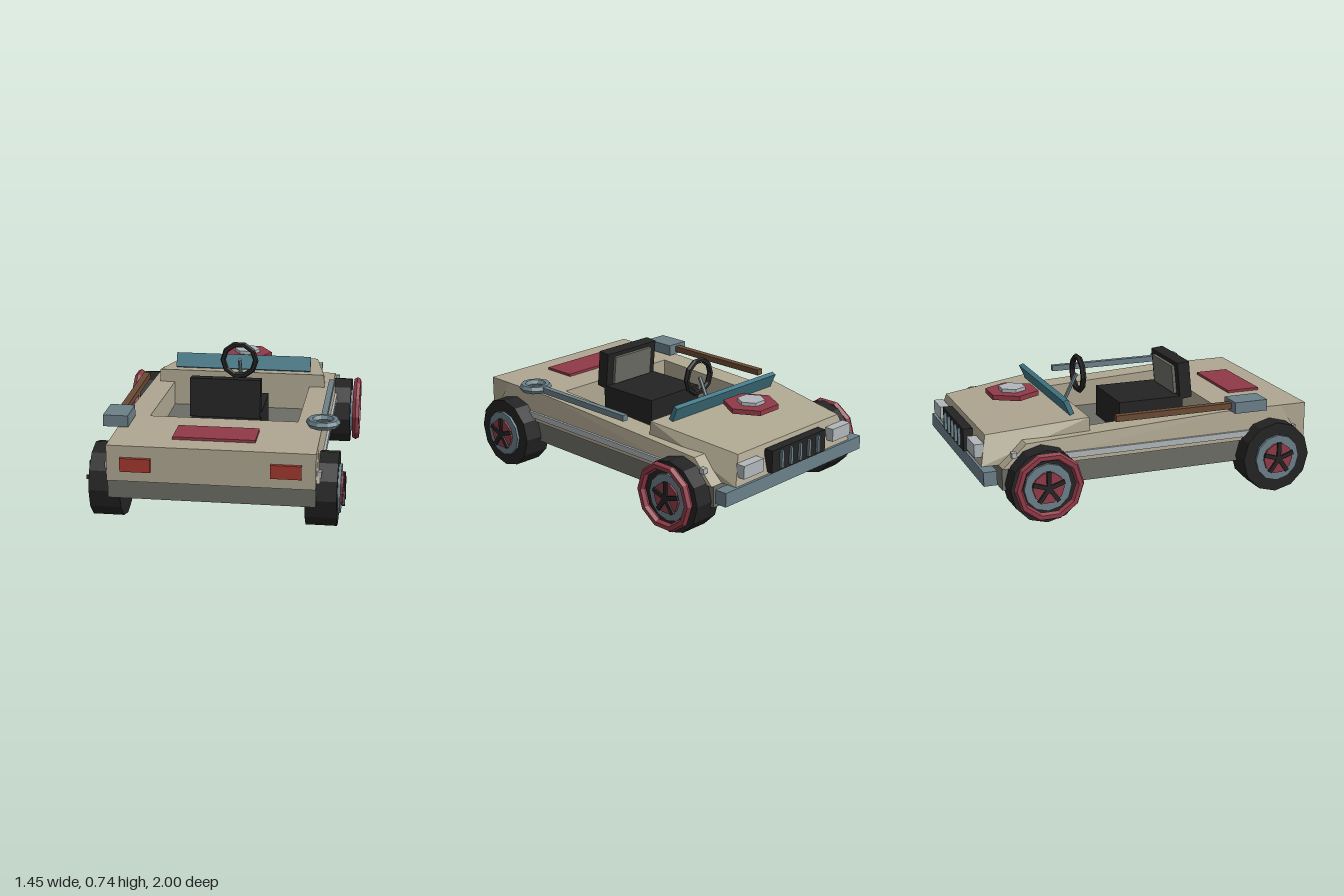
import * as THREE from 'three';
import { ConvexGeometry } from 'three/addons/geometries/ConvexGeometry.js';

const mat = (name, color) => {
  const m = new THREE.MeshStandardMaterial({ color });
  m.name = name;
  return m;
};

// Faceted normals for low-poly parts
const facet = (g) => {
  const f = g.index ? g.toNonIndexed() : g;
  f.computeVertexNormals();
  return f;
};

export function createModel() {
  const root = new THREE.Group();
  root.name = 'openBuggy';
  const tan = mat('sand paint', 0xafa791), grey = mat('dark grey', 0x6d6d66);
  const black = mat('black rubber', 0x232324), red = mat('crimson', 0x8f3a47);
  const tail = mat('tail light red', 0xa3392e), steel = mat('blue steel', 0x6b8089);
  const silver = mat('silver', 0xb0b7ba), teal = mat('teal glass', 0x437988);
  const brown = mat('wood brown', 0x694934);

  const add = (name, geo, m, x = 0, y = 0, z = 0, parent = root) => {
    const mesh = new THREE.Mesh(geo, m);
    mesh.name = name;
    mesh.position.set(x, y, z);
    parent.add(mesh);
    return mesh;
  };
  // Box given by its min and max on each axis
  const box = (name, m, [x0, x1], [y0, y1], [z0, z1], parent = root) =>
    add(name, new THREE.BoxGeometry(x1 - x0, y1 - y0, z1 - z0), m,
      (x0 + x1) / 2, (y0 + y1) / 2, (z0 + z1) / 2, parent);
  const solid = (name, m, pts) =>
    add(name, new ConvexGeometry(pts.map((p) => new THREE.Vector3(...p))), m);
  const span = (s, a, b) => (s > 0 ? [a, b] : [-b, -a]);

  // Chassis and rear deck
  box('chassis', grey, [-0.56, 0.56], [0.175, 0.3], [-0.86, 0.96]);
  box('rearDeck', tan, [-0.56, 0.56], [0.28, 0.48], [0.46, 0.98]);
  box('deckPlate', red, [-0.225, 0.225], [0.48, 0.495], [0.645, 0.845]);

  // Hood tapering to the nose
  solid('hood', tan, [-1, 1].flatMap((s) => [
    [s * 0.52, 0.3, -0.33], [s * 0.49, 0.3, -0.955],
    [s * 0.43, 0.46, -0.915], [s * 0.51, 0.52, -0.34]]));

  // Side panels with trim, lights and fender lamps
  const sideProfile = [[0.93, 0.3], [0.82, 0.48], [0.46, 0.48], [-0.72, 0.425], [-0.86, 0.3]];
  for (const s of [-1, 1]) {
    solid('sidePanel', tan, sideProfile.flatMap(([z, y]) =>
      [[s * 0.42, y, z], [s * (y > 0.35 ? 0.56 : 0.576), y, z]]));
    box('sideTrim', silver, span(s, 0.56, 0.585), [0.322, 0.357], [-0.51, 0.91]);
    box('tailLight', tail, span(s, 0.32, 0.485), [0.34, 0.415], [0.98, 1]);
    box('headlight', silver, span(s, 0.3, 0.46), [0.345, 0.42], [-0.985, -0.93]);
    box('fenderLamp', silver, span(s, 0.555, 0.585), [0.36, 0.39], [-0.81, -0.78]);
  }

  // Nose: bumper and barred grille
  box('bumper', steel, [-0.585, 0.585], [0.22, 0.3], [-0.97, -0.895]);
  box('grille', black, [-0.23, 0.23], [0.31, 0.44], [-0.985, -0.93]);
  for (let i = -2; i <= 2; i++) {
    box('grilleBar', steel, [i * 0.078 - 0.009, i * 0.078 + 0.009], [0.325, 0.425], [-1, -0.983]);
  }

  // Raised hexagonal hood cap
  const hex = (name, r, h, m, y) => {
    const g = new THREE.CylinderGeometry(r, r, h, 6);
    g.rotateY(Math.PI / 6);
    add(name, facet(g), m, 0, y, -0.63);
  };
  hex('hoodCap', 0.157, 0.028, red, 0.559);
  hex('hoodCapCentre', 0.08, 0.02, silver, 0.583);

  // Windscreen strip
  add('windscreen', new THREE.BoxGeometry(0.84, 0.09, 0.028), teal, 0, 0.56, -0.427)
    .rotation.x = -0.42;

  // Steering wheel and column
  add('steeringWheel', facet(new THREE.TorusGeometry(0.1, 0.017, 6, 10)), black, 0, 0.63, -0.226);
  const from = new THREE.Vector3(0, 0.43, -0.335), to = new THREE.Vector3(0, 0.63, -0.235);
  const column = add('steeringColumn', facet(new THREE.CylinderGeometry(0.012, 0.012, from.distanceTo(to), 6)), steel);
  column.position.lerpVectors(from, to, 0.5);
  column.quaternion.setFromUnitVectors(new THREE.Vector3(0, 1, 0), to.clone().sub(from).normalize());

  // Seat
  box('seatBase', black, [-0.2, 0.2], [0.3, 0.485], [-0.04, 0.36]);
  const back = new THREE.Group();
  back.name = 'seatBack';
  back.position.set(0, 0.58, 0.371);
  back.rotation.x = -0.1;
  root.add(back);
  box('backrest', black, [-0.2, 0.2], [-0.11, 0.11], [-0.037, 0.037], back);
  box('backrestPad', grey, [-0.15, 0.15], [-0.085, 0.085], [-0.055, -0.036], back);

  // Spanner on the left side
  box('spannerBar', steel, [0.55, 0.583], [0.5, 0.535], [-0.2, 0.5]);
  add('spannerRing', facet(new THREE.TorusGeometry(0.073, 0.024, 6, 10).rotateX(Math.PI / 2)), steel, 0.567, 0.52, 0.565);

  // Hammer on the right side
  box('hammerHandle', brown, [-0.59, -0.55], [0.5, 0.535], [-0.21, 0.5]);
  box('hammerHead', steel, [-0.64, -0.5], [0.485, 0.55], [0.49, 0.69]);

  // Wheels, built facing +x and turned around for the other side
  const disc = (name, r, x0, x1, m, sides, parent) => {
    const g = new THREE.CylinderGeometry(r, r, x1 - x0, sides).rotateZ(-Math.PI / 2);
    add(name, facet(g), m, (x0 + x1) / 2, 0, 0, parent);
  };
  for (const s of [-1, 1]) {
    for (const z of [-0.64, 0.745]) {
      const wheel = new THREE.Group();
      wheel.name = z < 0 ? 'frontWheel' : 'rearWheel';
      wheel.position.set(0, 0.207, z);
      if (s < 0) wheel.rotation.y = Math.PI;
      root.add(wheel);
      disc('tyre', 0.206, 0.5, 0.67, black, 12, wheel);
      disc('rim', 0.135, 0.66, 0.685, steel, 12, wheel);
      disc('hub', 0.09, 0.68, 0.697, red, 10, wheel);
      for (let i = 0; i < 5; i++) {
        const spoke = new THREE.BoxGeometry(0.014, 0.095, 0.024);
        spoke.translate(0, 0.047, 0).rotateX((i * Math.PI * 2) / 5);
        add('spoke', spoke, black, 0.7, 0, 0, wheel);
      }
      if (z < 0) {
        const ring = new THREE.TorusGeometry(0.175, 0.024, 6, 10).rotateY(Math.PI / 2);
        add('wheelRing', facet(ring), red, 0.705, 0.012, 0, wheel);
      }
    }
  }
  return root;
}
